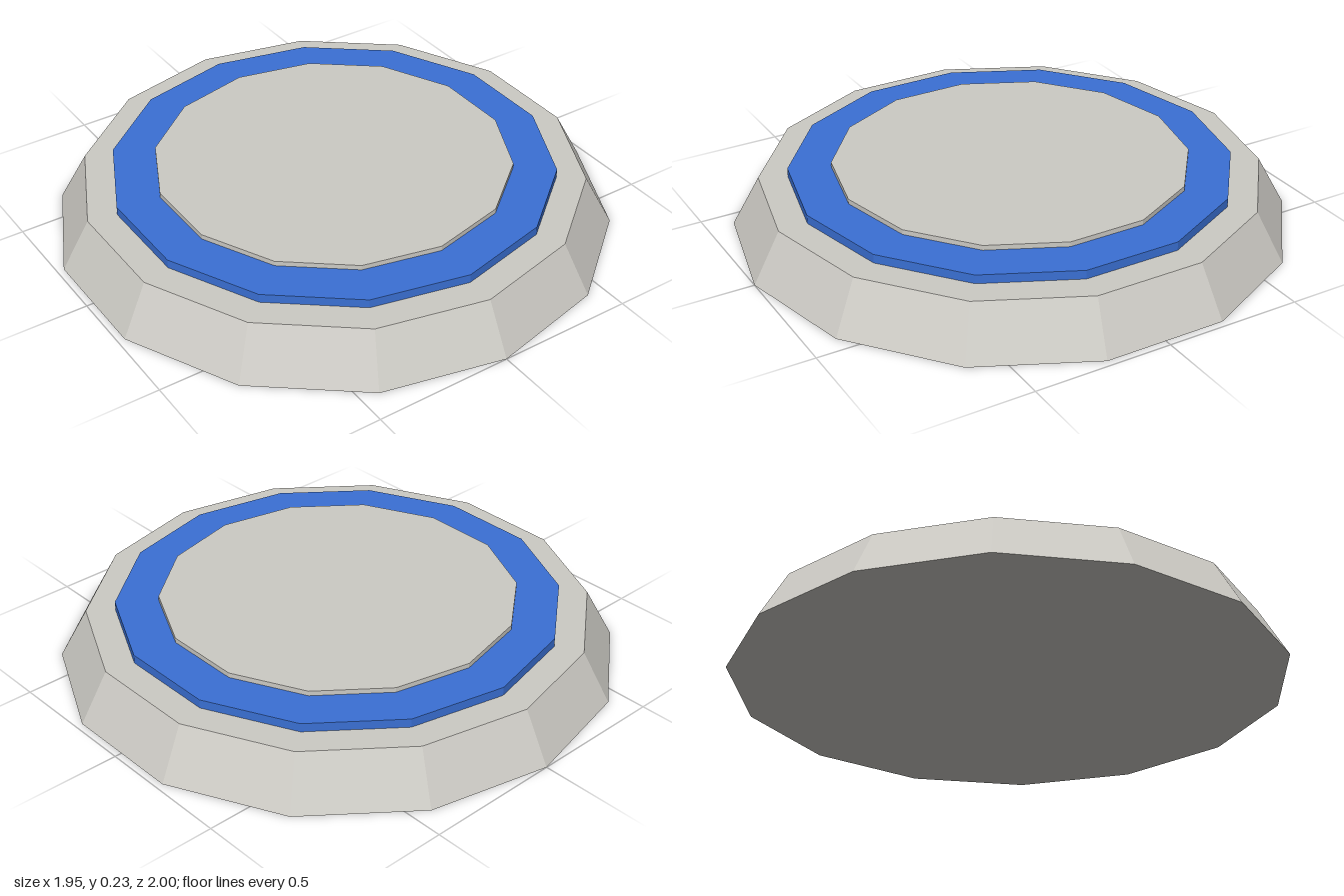
import * as THREE from 'three';

const SIDES = 14;

export function createModel() {
  const group = new THREE.Group();
  group.name = 'roundPedestal';

  const stone = new THREE.MeshStandardMaterial({ color: 0xcccac4, flatShading: true });
  stone.name = 'paleStone';
  const blue = new THREE.MeshStandardMaterial({ color: 0x3a70d4, flatShading: true });
  blue.name = 'blue';

  // Stacks a faceted disc between two heights
  const addDisc = (name, topRadius, bottomRadius, y0, y1, material) => {
    const disc = new THREE.Mesh(
      new THREE.CylinderGeometry(topRadius, bottomRadius, y1 - y0, SIDES), material);
    disc.name = name;
    disc.position.y = (y0 + y1) / 2;
    group.add(disc);
  };

  addDisc('slopedBase', 0.9, 1, 0, 0.18, stone);
  addDisc('blueRing', 0.795, 0.795, 0.18, 0.212, blue);
  addDisc('topPlate', 0.64, 0.64, 0.212, 0.23, stone);

  return group;
}
